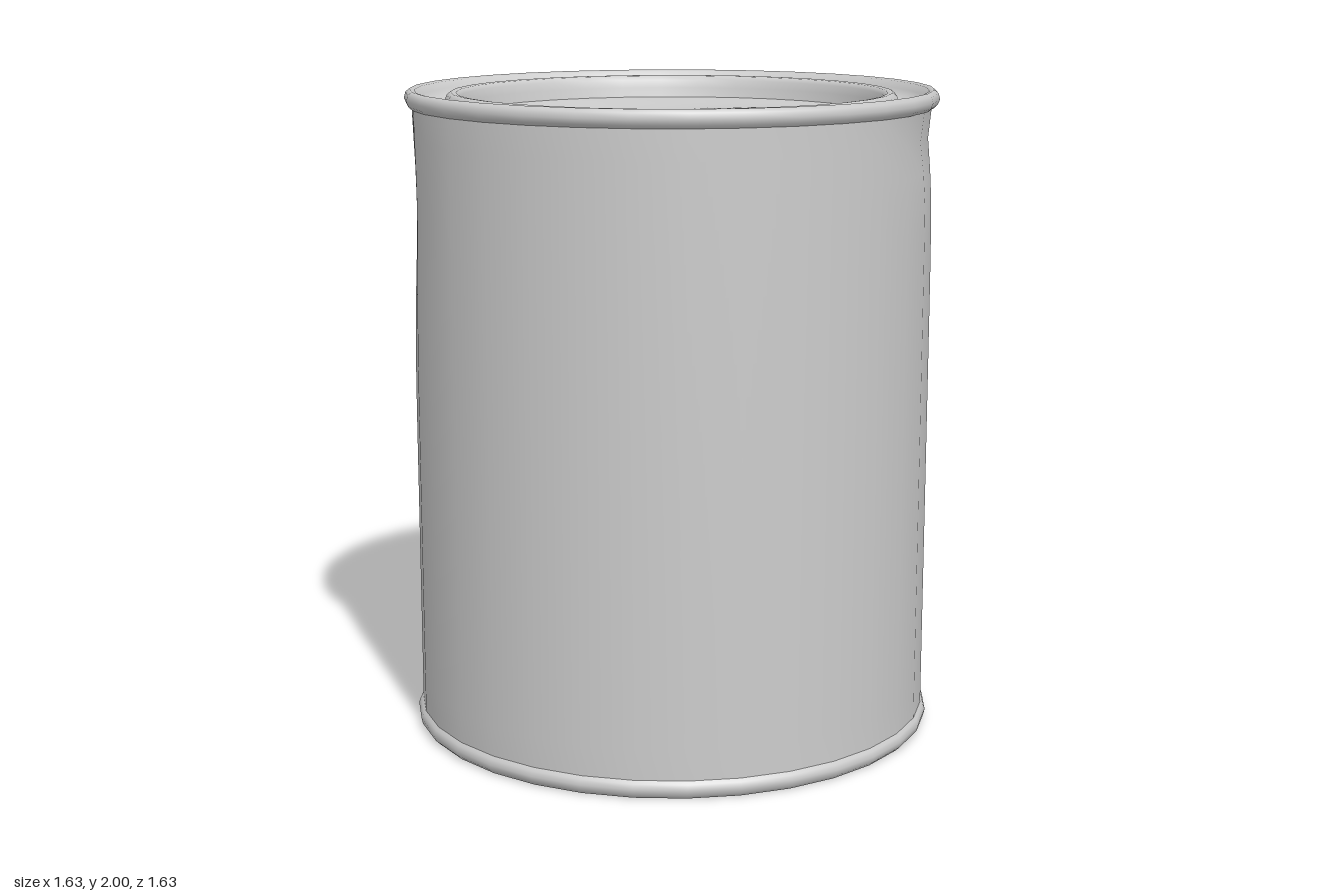
import * as THREE from 'three';
import { mergeVertices } from 'three/addons/utils/BufferGeometryUtils.js';

const SIDES = 32;

// Dents in the wall: angle from the front, height, angular width, vertical size, depth
const dents = [
  [Math.PI, 1.45, 0.35, 0.4, 0.028],
  [1.57, 1.4, 0.4, 0.35, 0.02],
  [-2.25, 1.65, 0.25, 0.3, 0.015],
  [0.55, 1.86, 0.25, 0.1, 0.02],
  [1.05, 1.75, 0.3, 0.18, 0.012],
];

function dentDepth(angle, y) {
  let sum = 0;
  for (const [a, h, w, s, d] of dents) {
    const da = Math.atan2(Math.sin(angle - a), Math.cos(angle - a)) / w;
    const dy = (y - h) / s;
    sum += d * Math.exp(-da * da - dy * dy);
  }
  return sum;
}

// Revolve a [radius, height] profile, deform it by a rule and smooth it
function revolve(name, profile, material, deform) {
  const points = profile.map(([r, y]) => new THREE.Vector2(r, y));
  let geometry = new THREE.LatheGeometry(points, SIDES, Math.PI / SIDES);
  geometry.deleteAttribute('uv');
  geometry.deleteAttribute('normal');
  const pos = geometry.attributes.position;
  const v = new THREE.Vector3();
  for (let i = 0; deform && i < pos.count; i++) {
    deform(v.fromBufferAttribute(pos, i));
    pos.setXYZ(i, v.x, v.y, v.z);
  }
  geometry = mergeVertices(geometry, 1e-4);
  geometry.computeVertexNormals();
  const mesh = new THREE.Mesh(geometry, material);
  mesh.name = name;
  return mesh;
}

export function createModel() {
  const metal = new THREE.MeshStandardMaterial({ color: 0xcccccc });
  metal.name = 'bareMetal';
  const can = new THREE.Group();
  can.name = 'can';

  // Dented wall
  const wall = [];
  for (let i = 0; i <= 20; i++) wall.push([0.803, 0.05 + (1.9 * i) / 20]);
  can.add(revolve('wall', wall, metal, (v) => {
    const k = 1 - dentDepth(Math.atan2(v.x, v.z), v.y) / 0.803;
    v.x *= k;
    v.z *= k;
  }));

  // Flat base, set slightly into its rolled rim
  can.add(revolve('base', [[0, 0.018], [0.785, 0.018]], metal));
  can.add(revolve('bottomRim', [
    [0.785, 0.018], [0.79, 0.004], [0.802, 0], [0.814, 0.012],
    [0.818, 0.03], [0.812, 0.045], [0.802, 0.055],
  ], metal));

  // Rolled top rim sloping into the lid channel
  can.add(revolve('topRim', [
    [0.802, 1.945], [0.813, 1.955], [0.82, 1.972], [0.815, 1.99], [0.803, 2],
    [0.788, 1.996], [0.775, 1.975], [0.76, 1.958], [0.735, 1.95], [0.705, 1.948],
  ], metal));

  // Raised bead around the lid
  can.add(revolve('lidBead', [
    [0.705, 1.948], [0.695, 1.965], [0.69, 1.98], [0.678, 1.99],
    [0.662, 1.988], [0.652, 1.975], [0.647, 1.95], [0.64, 1.92],
  ], metal));

  // Sunken, gently buckled lid panel
  const panel = [];
  for (let i = 0; i <= 8; i++) panel.push([0.64 * (1 - i / 8), 1.92]);
  can.add(revolve('lidPanel', panel, metal, (v) => {
    const fade = 1 - (v.x * v.x + v.z * v.z) / 0.4096;
    v.y += fade * (0.014 * Math.sin(5 * v.x + 3 * v.z) + 0.01 * Math.cos(7 * v.z - 4 * v.x) - 0.015);
  }));

  return can;
}
